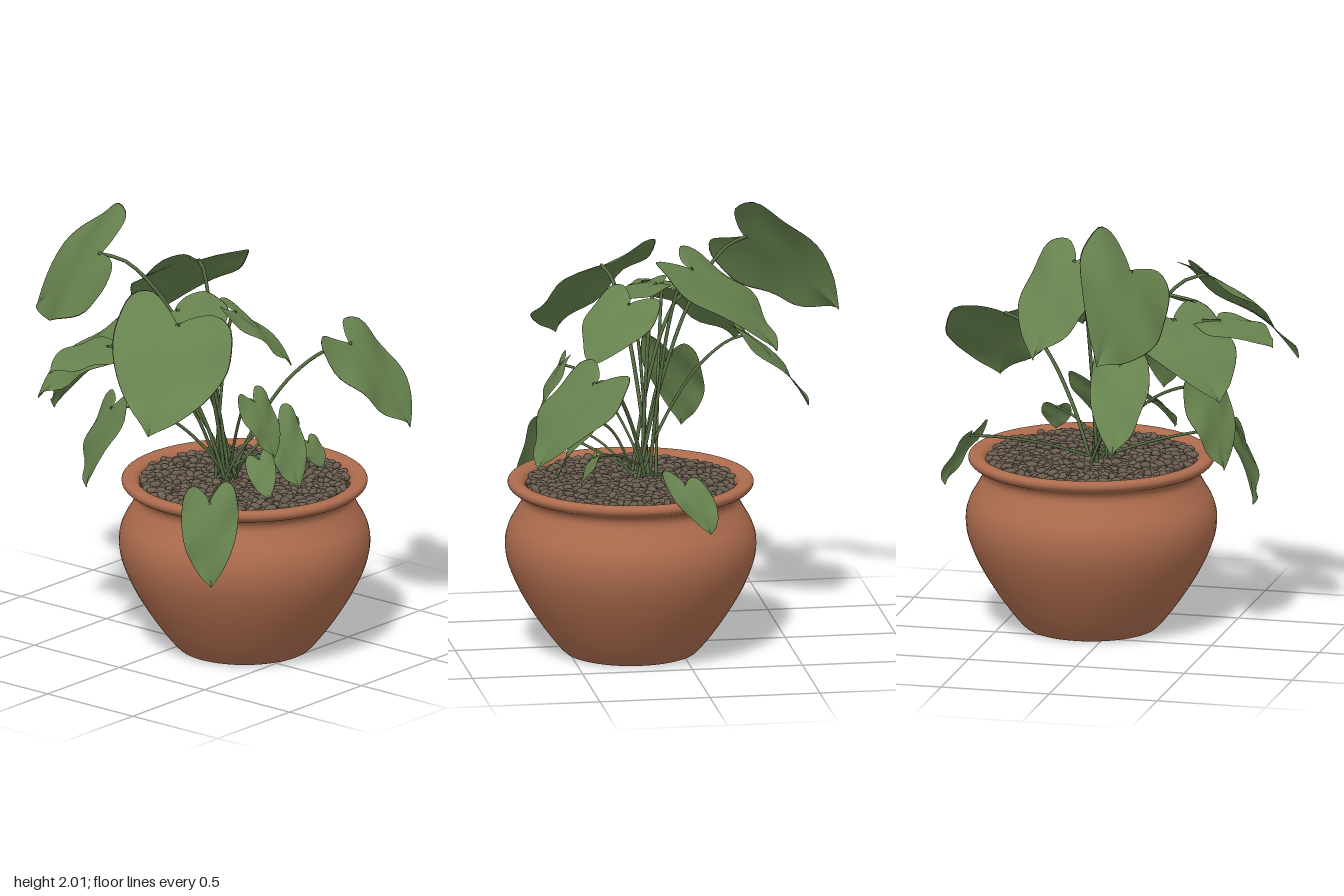
import * as THREE from 'three';
import { mergeGeometries } from 'three/addons/utils/BufferGeometryUtils.js';

const V = (a) => new THREE.Vector3(...a);

// Small seeded random
let seed = 7;
const rand = () => {
  seed = (seed * 16807) % 2147483647;
  return seed / 2147483647;
};

// Half outline of a heart-shaped leaf: [across, along]
const outline = new THREE.SplineCurve(
  [[0, -0.02], [0.2, -0.13], [0.55, -0.23], [0.88, -0.14], [1, 0.12], [0.95, 0.36],
    [0.76, 0.6], [0.42, 0.82], [0.14, 0.94], [0, 1]].map(([u, v]) => new THREE.Vector2(u, v))
).getPoints(27);

// Each leaf: name, stalk joint, tip, half width vector
const LEAVES = [
  ['leftFrontLarge', [0.57, 1.36, 0.46], [0.66, 1.0, 0.73], [0.25, 0, -0.09]],
  ['rightFrontLarge', [-0.42, 1.65, 0.27], [-0.8, 1.25, 0.42], [0.1, -0.07, 0.25]],
  ['backTall', [-0.22, 1.81, -0.36], [-0.16, 1.47, -0.77], [0.17, 0.18, -0.08]],
  ['backLeft', [0.12, 1.76, -0.06], [0.22, 1.39, -0.43], [0.2, 0, 0.12]],
  ['backRight', [-0.36, 1.53, -0.11], [-0.63, 1.23, -0.37], [0.16, 0, -0.17]],
  ['backLow', [-0.17, 1.37, -0.36], [-0.2, 1.02, -0.64], [0.14, 0.02, 0.03]],
  ['rightOuter', [-0.55, 1.52, -0.03], [-0.82, 1.44, -0.14], [0.06, 0, -0.15]],
  ['rightDrooping', [-0.49, 0.88, 0.52], [-0.55, 0.51, 0.58], [0.08, 0.02, 0.1]],
  ['rightLow', [-0.49, 1.21, -0.06], [-0.59, 0.85, -0.12], [-0.06, 0.03, 0.13]],
  ['leftDrooping', [0.63, 0.89, 0.05], [0.72, 0.68, -0.05], [0.04, -0.02, -0.1]],
  ['centreHigh', [-0.18, 1.62, 0.06], [-0.18, 1.52, 0.29], [0.24, 0.03, 0.02]],
  ['centreFront', [0.05, 1.59, 0.22], [0.2, 1.34, 0.42], [0.14, -0.02, -0.11]],
  ['frontHanging', [-0.15, 1.27, 0.5], [-0.13, 1.02, 0.6], [0.1, 0.01, 0]],
  ['frontLow', [0.14, 1.07, 0.4], [0.1, 0.81, 0.55], [0.12, 0.03, 0]],
  ['frontSmall', [0.32, 0.95, 0.42], [0.34, 0.83, 0.48], [0.07, 0, 0]],
  ['frontTiny', [-0.12, 0.99, 0.5], [-0.18, 0.84, 0.61], [0.06, 0.02, 0.03]],
];

// Blade with two material groups: the face and its thin dark margin
function leafGeometry(A, T, W) {
  const axis = T.clone().sub(A);
  const normal = new THREE.Vector3().crossVectors(axis, W).normalize();
  const flip = normal.y < 0;
  if (flip) normal.negate();
  const size = axis.length();
  const across = [-1, -0.98, -0.75, -0.5, -0.25, 0, 0.25, 0.5, 0.75, 0.98, 1];
  const n = outline.length, cols = across.length;
  const pos = [], face = [], margin = [];
  outline.forEach((o, i) => {
    const m = Math.max(0, (i - 6) / (n - 7));
    for (const s of across) {
      const f = Math.abs(s);
      const u = o.x * s;
      const v = m + (o.y - m) * f;
      // Arched blade, folded along the midrib, with a gently waved edge
      const lift = size * (0.2 * v * (1 - v) - 0.01 + 0.05 * Math.abs(u) - 0.08 * u * u
        + 0.03 * Math.sin(v * 9 + u * 3) * f);
      const p = A.clone().addScaledVector(axis, v).addScaledVector(W, u).addScaledVector(normal, lift);
      pos.push(p.x, p.y, p.z);
    }
  });
  for (let i = 0; i < n - 1; i++) {
    for (let j = 0; j < cols - 1; j++) {
      const a = i * cols + j, b = a + 1, c = a + cols, d = c + 1;
      const list = j === 0 || j === cols - 2 ? margin : face;
      if (flip) list.push(a, b, c, b, d, c);
      else list.push(a, c, b, b, c, d);
    }
  }
  const g = new THREE.BufferGeometry();
  g.setAttribute('position', new THREE.Float32BufferAttribute(pos, 3));
  g.setIndex([...face, ...margin]);
  g.addGroup(0, face.length, 0);
  g.addGroup(face.length, margin.length, 1);
  g.computeVertexNormals();
  return g;
}

// Stalk rising steeply from the clump, then arching over to the leaf joint
function stalkGeometry(A, radius) {
  const root = new THREE.Vector3(0.05 + (rand() - 0.5) * 0.14, 0.77, 0.14 + (rand() - 0.5) * 0.14);
  const at = (h, y) => new THREE.Vector3(
    root.x + (A.x - root.x) * h, root.y + (A.y - root.y) * y, root.z + (A.z - root.z) * h);
  const curve = new THREE.CatmullRomCurve3([root, at(0.2, 0.4), at(0.5, 0.78), at(0.8, 0.97), A]);
  return new THREE.TubeGeometry(curve, 20, radius, 6);
}

export function createModel() {
  seed = 7;
  const model = new THREE.Group();
  model.name = 'pottedPlant';
  const mat = (name, color) => {
    const m = new THREE.MeshStandardMaterial({ color, side: THREE.DoubleSide });
    m.name = name;
    return m;
  };
  const terracotta = mat('terracotta', 0xac6b4d);
  const leafGreen = mat('leafGreen', 0x66824e);
  const marginBrown = mat('marginBrown', 0x3a3022);
  const stalkGreen = mat('stalkGreen', 0x556b41);
  const pebbleBrown = mat('pebbleBrown', 0x6a5d50);
  const soilBrown = mat('soilBrown', 0x40362e);
  const add = (parent, name, geo, material) => {
    const mesh = new THREE.Mesh(geo, material);
    mesh.name = name;
    parent.add(mesh);
  };

  // Pot with rounded belly, narrow neck and rolled rim
  const pot = new THREE.Group();
  pot.name = 'pot';
  pot.position.set(0.11, 0, 0.22);
  model.add(pot);
  const profile = new THREE.SplineCurve(
    [[0.28, 0], [0.308, 0.012], [0.395, 0.12], [0.49, 0.27], [0.548, 0.4], [0.565, 0.5], [0.55, 0.58],
      [0.512, 0.65], [0.487, 0.7], [0.497, 0.735], [0.535, 0.755], [0.552, 0.775], [0.548, 0.795],
      [0.525, 0.803], [0.49, 0.795], [0.47, 0.765], [0.465, 0.7]].map(([x, y]) => new THREE.Vector2(x, y))
  ).getPoints(64);
  add(pot, 'potWall', new THREE.LatheGeometry(profile, 64), terracotta);
  add(pot, 'potBase', new THREE.CircleGeometry(0.28, 64).rotateX(Math.PI / 2), terracotta);
  add(pot, 'soil', new THREE.CircleGeometry(0.47, 48).rotateX(-Math.PI / 2).translate(0, 0.76, 0), soilBrown);

  // Pebbles scattered in a loose spiral over the soil
  const pebbles = [];
  const count = 520;
  const stone = new THREE.SphereGeometry(1, 8, 6);
  for (let i = 0; i < count; i++) {
    const r = 0.46 * Math.sqrt((i + 0.5) / count);
    const a = i * 2.39996 + (rand() - 0.5) * 0.04;
    const m = new THREE.Matrix4().compose(
      new THREE.Vector3(Math.cos(a) * r, 0.768 + rand() * 0.02, Math.sin(a) * r),
      new THREE.Quaternion().setFromEuler(new THREE.Euler((rand() - 0.5) * 0.7, rand() * 6.28, (rand() - 0.5) * 0.7)),
      new THREE.Vector3(0.025 + rand() * 0.012, 0.014 + rand() * 0.006, 0.015 + rand() * 0.007));
    pebbles.push(stone.clone().applyMatrix4(m));
  }
  add(pot, 'pebbles', mergeGeometries(pebbles), pebbleBrown);

  // Leaves on arching stalks
  for (const [name, a, t, w] of LEAVES) {
    const A = V(a), T = V(t), W = V(w);
    const leaf = new THREE.Group();
    leaf.name = name + 'Leaf';
    add(leaf, 'blade', leafGeometry(A, T, W), [leafGreen, marginBrown]);
    add(leaf, 'stalk', stalkGeometry(A, 0.005 + W.length() * 0.014), stalkGreen);
    model.add(leaf);
  }
  return model;
}
